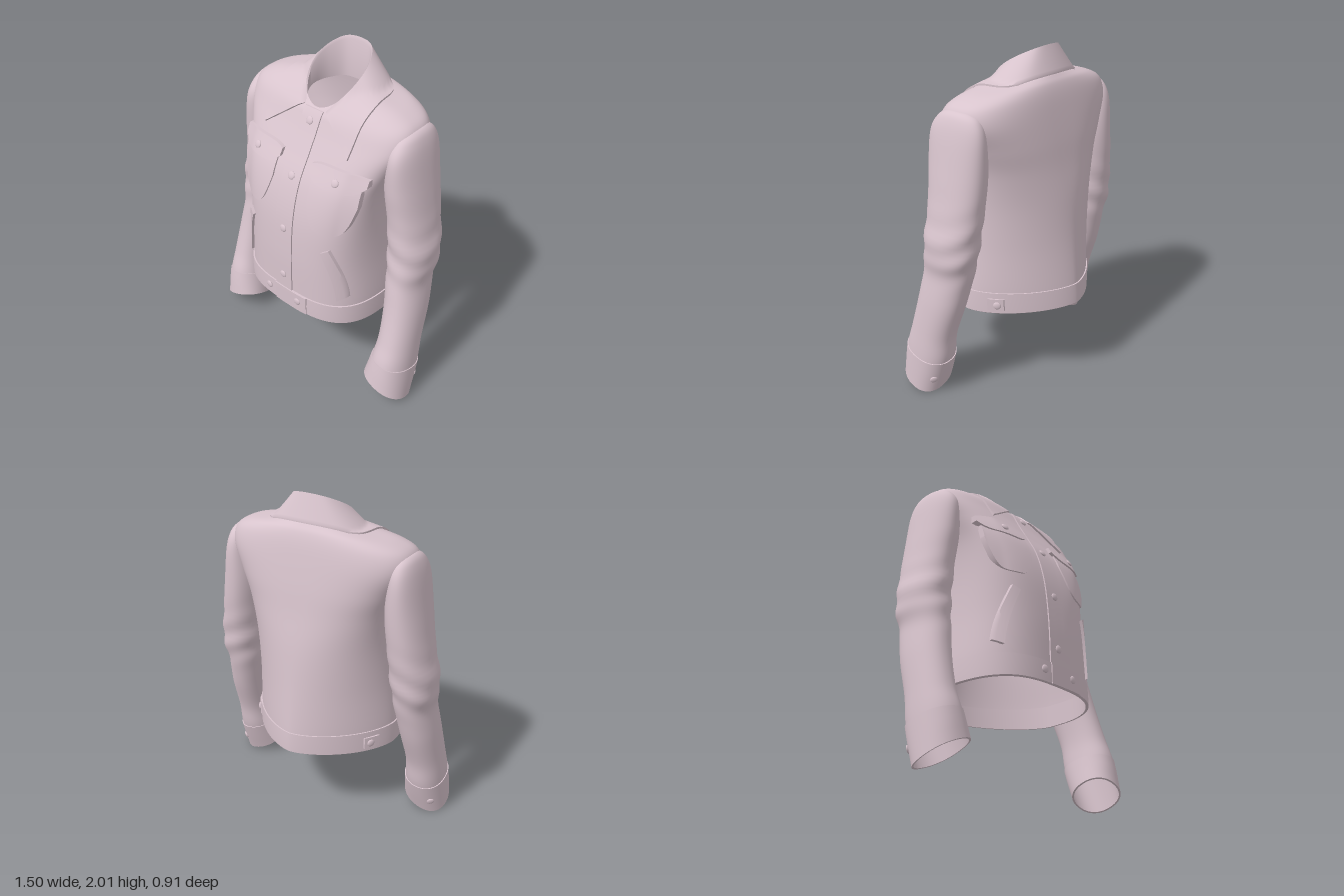
import * as THREE from 'three';
import { toCreasedNormals } from 'three/addons/utils/BufferGeometryUtils.js';

const fabric = new THREE.MeshStandardMaterial({ color: 0xd8c4cd, side: THREE.DoubleSide });
fabric.name = 'dusty pink fabric';

// Surface from a grid of points; wrap joins the last column to the first
function grid(rows, wrap) {
  const n = rows[0].length, idx = [];
  for (let i = 0; i < rows.length - 1; i++) {
    for (let j = 0; j < (wrap ? n : n - 1); j++) {
      const k = (j + 1) % n, a = i * n + j, b = i * n + k;
      idx.push(a, b, b + n, a, b + n, a + n);
    }
  }
  const g = new THREE.BufferGeometry();
  g.setAttribute('position', new THREE.Float32BufferAttribute(rows.flat(2), 3));
  g.setIndex(idx);
  g.computeVertexNormals();
  return g;
}

// Smooth interpolation through a short table of cross-sections
function smooth(table) {
  const f = new THREE.CubicInterpolant(
    Float32Array.from(table.keys()), Float32Array.from(table.flat()), table[0].length);
  return t => Array.from(f.evaluate(t));
}
const power = (v, e) => Math.sign(v) * Math.abs(v) ** e;
const loft = (rows, point, n) => grid(rows.map(([t, off]) =>
  Array.from({ length: n }, (_, j) => point(t, j / n * Math.PI * 2, off))), true);
const span = (a, b, n) => Array.from({ length: n + 1 }, (_, i) => [a + (b - a) * i / n, 0]);

// Torso sections: y front, y side, y back, half width, z front, z back, front and back squareness, z middle
const torsoAt = smooth([
  [0.51, 0.49, 0.51, 0.45, 0.435, -0.44, 3.0, 1.55, 0],
  [0.64, 0.63, 0.64, 0.45, 0.435, -0.435, 3.0, 1.58, 0],
  [0.90, 0.90, 0.90, 0.432, 0.43, -0.41, 3.1, 1.75, 0],
  [1.15, 1.15, 1.15, 0.43, 0.405, -0.385, 3.5, 2.05, 0],
  [1.35, 1.35, 1.35, 0.45, 0.35, -0.355, 3.9, 2.5, -0.01],
  [1.50, 1.50, 1.50, 0.50, 0.27, -0.335, 3.9, 2.8, -0.02],
  [1.60, 1.63, 1.64, 0.555, 0.215, -0.312, 3.2, 2.8, -0.04],
  [1.66, 1.72, 1.74, 0.54, 0.185, -0.292, 2.8, 2.6, -0.05],
  [1.69, 1.77, 1.80, 0.455, 0.17, -0.272, 2.6, 2.4, -0.06],
  [1.71, 1.80, 1.83, 0.33, 0.155, -0.25, 2.3, 2.2, -0.05],
  [1.718, 1.825, 1.85, 0.21, 0.147, -0.23, 2, 2, -0.04],
  [1.72, 1.84, 1.86, 0.17, 0.14, -0.212, 2, 2, -0.03],
]);
function torsoPoint(t, a, off) {
  const [yF, yS, yB, w, zF, zB, nF, nB, zM] = torsoAt(t);
  const c = Math.cos(a), s = Math.sin(a), e = 2 / (c > 0 ? nF : nB);
  const reach = c > 0 ? zF + off - zM : zM - zB + off;
  return [(w + off) * power(s, e), yS + ((c > 0 ? yF : yB) - yS) * c * c, zM + reach * power(c, e)];
}

// Left sleeve sections: y, inner x, outer x, z back, z front, tilt along x, tilt along z
const sleeveAt = smooth([
  [0.065, 0.48, 0.745, 0.062, 0.325, -0.36, 0.36],
  [0.25, 0.505, 0.742, -0.01, 0.295, -0.15, 0.2],
  [0.40, 0.515, 0.733, -0.04, 0.25, -0.05, 0.08],
  [0.60, 0.50, 0.72, -0.11, 0.20, 0, 0],
  [0.80, 0.475, 0.70, -0.16, 0.162, 0, 0],
  [0.95, 0.46, 0.715, -0.192, 0.145, 0, 0],
  [1.20, 0.44, 0.672, -0.22, 0.14, 0, 0],
  [1.40, 0.425, 0.64, -0.23, 0.155, 0, 0],
  [1.58, 0.44, 0.61, -0.225, 0.15, 0, 0],
  [1.67, 0.455, 0.585, -0.195, 0.10, 0, 0],
  [1.71, 0.475, 0.557, -0.14, 0.03, 0, 0],
  [1.72, 0.514, 0.516, -0.061, -0.059, 0, 0],
]);
function sleevePoint(t, a, off) {
  const [y, xi, xo, zb, zf, tx, tz] = sleeveAt(t);
  // soft slanted creases around the elbow
  const fold = 0.006 * Math.exp(-(((y - 0.98) / 0.16) ** 2)) * Math.sin(y * 36 + 2.5 * Math.sin(a) + Math.cos(a));
  const dx = ((xo - xi) / 2 + off + fold) * power(Math.sin(a), 0.9);
  const dz = ((zf - zb) / 2 + off + fold) * power(Math.cos(a), 0.9);
  return [(xi + xo) / 2 + dx, y + tx * dx + tz * dz, (zb + zf) / 2 + dz];
}

const ray = new THREE.Raycaster();
function cast(target, from, dir) {
  ray.set(new THREE.Vector3(...from), new THREE.Vector3(...dir).normalize());
  return ray.intersectObject(target, false)[0];
}

export function createModel() {
  const model = new THREE.Group();
  model.name = 'jacket';
  const add = (name, geo) => {
    const m = new THREE.Mesh(geo, fabric);
    m.name = name;
    model.add(m);
    return m;
  };
  const torso = add('body', loft(span(0, 11, 66), torsoPoint, 96));
  add('waistband', toCreasedNormals(loft(
    [[0.97, -0.005], [0.97, 0.008], [0.5, 0.01], [0.03, 0.01], [0, 0.005], [0, -0.005], [0.97, -0.005]],
    torsoPoint, 96), 0.7));

  // Depth of the body front; beyond the limit the fabric stands off sideways
  function frontZ(x, y, limit = 1) {
    const ax = Math.min(Math.abs(x), limit);
    const hit = cast(torso, [Math.sign(x) * ax, y, 2], [0, 0, -1]);
    return (hit ? hit.point.z : 0) - (Math.abs(x) - ax) * 0.5;
  }
  // Raised panel that follows the body, with edges turned back to it
  function panel(name, map, off, { nu = 16, nv = 12, limit = 1, side = 0, depth = off } = {}) {
    const rows = [];
    for (let i = -1; i <= nv + 1; i++) {
      const row = [];
      for (let j = -1; j <= nu + 1; j++) {
        const edge = i < 0 || j < 0 || i > nv || j > nu;
        const u = THREE.MathUtils.clamp(j / nu, 0, 1), v = THREE.MathUtils.clamp(i / nv, 0, 1);
        const [h, y] = map(u, v), o = edge ? off - depth : off;
        if (side) {
          const hit = cast(torso, [2 * side, y, h], [-side, 0, 0]);
          row.push([hit.point.x + side * o, y, h]);
        } else row.push([h, y, frontZ(h, y, limit) + o]);
      }
      rows.push(row);
    }
    add(name, toCreasedNormals(grid(rows, false), 0.7));
  }
  const domeGeo = new THREE.SphereGeometry(0.023, 20, 12).scale(1, 1, 0.35);
  function button(name, target, from, dir, off) {
    const hit = cast(target, from, dir);
    if (!hit) return;
    const m = add(name, domeGeo);
    const n = hit.face.normal.clone();
    if (n.dot(ray.ray.direction) > 0) n.negate();
    m.position.copy(hit.point).addScaledVector(ray.ray.direction, -off);
    m.quaternion.setFromUnitVectors(new THREE.Vector3(0, 0, 1), n);
  }

  // Front placket, waistband overlap and their buttons
  panel('placket', (u, v) => [-0.065 + 0.128 * u, 0.63 + 1.085 * v], 0.008, { nu: 6, nv: 40 });
  panel('waistbandOverlap', (u, v) => [-0.065 + 0.24 * u, 0.512 + 0.122 * v], 0.015, { nu: 10, nv: 3 });
  for (const y of [1.66, 1.38, 1.06, 0.73]) button('placketButton', torso, [0, y, 2], [0, 0, -1], 0.01);
  for (const x of [-0.12, 0.11]) button('waistButton', torso, [x, 0.58, 2], [0, 0, -1], 0.014);

  for (const s of [1, -1]) {
    const word = s > 0 ? 'left' : 'right';
    // Chest pocket with rounded bottom and flap
    panel(word + 'Pocket', (u, v) => {
      const low = 1.13 + 0.2 * Math.abs(2 * u - 1) ** 3.5;
      return [s * (0.13 + 0.295 * u), low + (1.47 - low) * v];
    }, 0.01, { limit: 0.34, depth: 0.035, nu: 20 });
    panel(word + 'PocketFlap', (u, v) => {
      const e = Math.abs(2 * u - 1) ** 4;
      const low = 1.395 + 0.05 * e, top = 1.505 - 0.02 * e;
      return [s * (0.11 + 0.34 * u), low + (top - low) * v];
    }, 0.022, { limit: 0.34, depth: 0.04, nu: 20, nv: 8 });
    button(word + 'PocketButton', torso, [s * 0.29, 1.445, 2], [0, 0, -1], 0.026);
    // Slanted welt pocket
    panel(word + 'WeltPocket', (u, v) => [
      s * (0.372 - 0.03 * v - 0.055 * v * v + (u - 0.5) * 0.042), 0.69 + 0.335 * v + (u - 0.5) * 0.025,
    ], 0.02, { nu: 4, nv: 14 });
    // Side adjuster tab
    panel(word + 'WaistTab', (u, v) => [-0.13 - 0.08 * u, 0.52 + 0.072 * v], 0.02, { nu: 6, nv: 3, side: s });
    button(word + 'TabButton', torso, [s * 2, 0.553, -0.18], [-s, 0, 0], 0.022);

    // Sleeve and cuff
    const mirrored = (t, a, off) => {
      const p = sleevePoint(t, s * a, off);
      return [s * p[0], p[1], p[2]];
    };
    add(word + 'Sleeve', loft(span(0, 11, 88), mirrored, 48));
    const cuff = add(word + 'Cuff', toCreasedNormals(loft(
      [[1, -0.004], [1, 0.005], [0.66, 0.005], [0.33, 0.005], [0, 0.005], [0, -0.005], [1, -0.004]],
      mirrored, 48), 0.7));
    button(word + 'CuffButton', cuff, [s * 1.6, 0.095, -0.85], [-s, 0, 1], 0.002);
  }

  // Collar: fold line and outer edge run from tip to tip around the neck
  const around = half => new THREE.CatmullRomCurve3([
    ...half.slice(1).reverse().map(([x, y, z]) => new THREE.Vector3(-x, y, z)),
    ...half.map(p => new THREE.Vector3(...p))]);
  const foldLine = around([[0, 2, -0.212], [0.09, 1.99, -0.195], [0.15, 1.95, -0.12],
    [0.168, 1.895, -0.03], [0.145, 1.82, 0.06], [0.075, 1.72, 0.148]]);
  const outerEdge = around([[0, 1.86, -0.265], [0.18, 1.845, -0.23], [0.285, 1.8, -0.14],
    [0.318, 1.76, 0], [0.316, 1.66, 0.1], [0.305, 1.56, frontZ(0.305, 1.56) + 0.015]]);
  // Lift a point clear of the body
  function clear(p, gap) {
    const d = new THREE.Vector3(0, 1, THREE.MathUtils.clamp(p.z * 7, -1, 1.3)).normalize();
    const hit = cast(torso, p.clone().add(d).toArray(), d.clone().negate().toArray());
    if (hit && hit.distance < 1 + gap && hit.distance > 0.88) p.addScaledVector(d, 1 + gap - hit.distance);
  }
  const columns = 72, across = 10, collar = [];
  for (let i = 0; i <= across + 3; i++) {
    const row = [];
    for (let j = -1; j <= columns + 1; j++) {
      const t = THREE.MathUtils.clamp(j / columns, 0, 1), end = j < 0 || j > columns;
      const p = foldLine.getPoint(t);
      if (i < 2) {
        // inner stand drops inside the neck
        p.y -= Math.sin(Math.PI * t) * (i ? 0.02 : 0.25);
        p.x *= 0.95;
        p.z = p.z * 0.95 - 0.002;
      } else {
        const k = Math.min(1, (i - 2) / across);
        p.lerp(outerEdge.getPoint(t), k);
        if (k > 0) clear(p, 0.011);
        if (i === across + 3 || end) p.add(new THREE.Vector3(0, -0.01, p.z > 0.05 ? -0.012 : 0));
      }
      row.push(p.toArray());
    }
    collar.push(row);
  }
  add('collar', toCreasedNormals(grid(collar, false), 0.9));
  return model;
}
